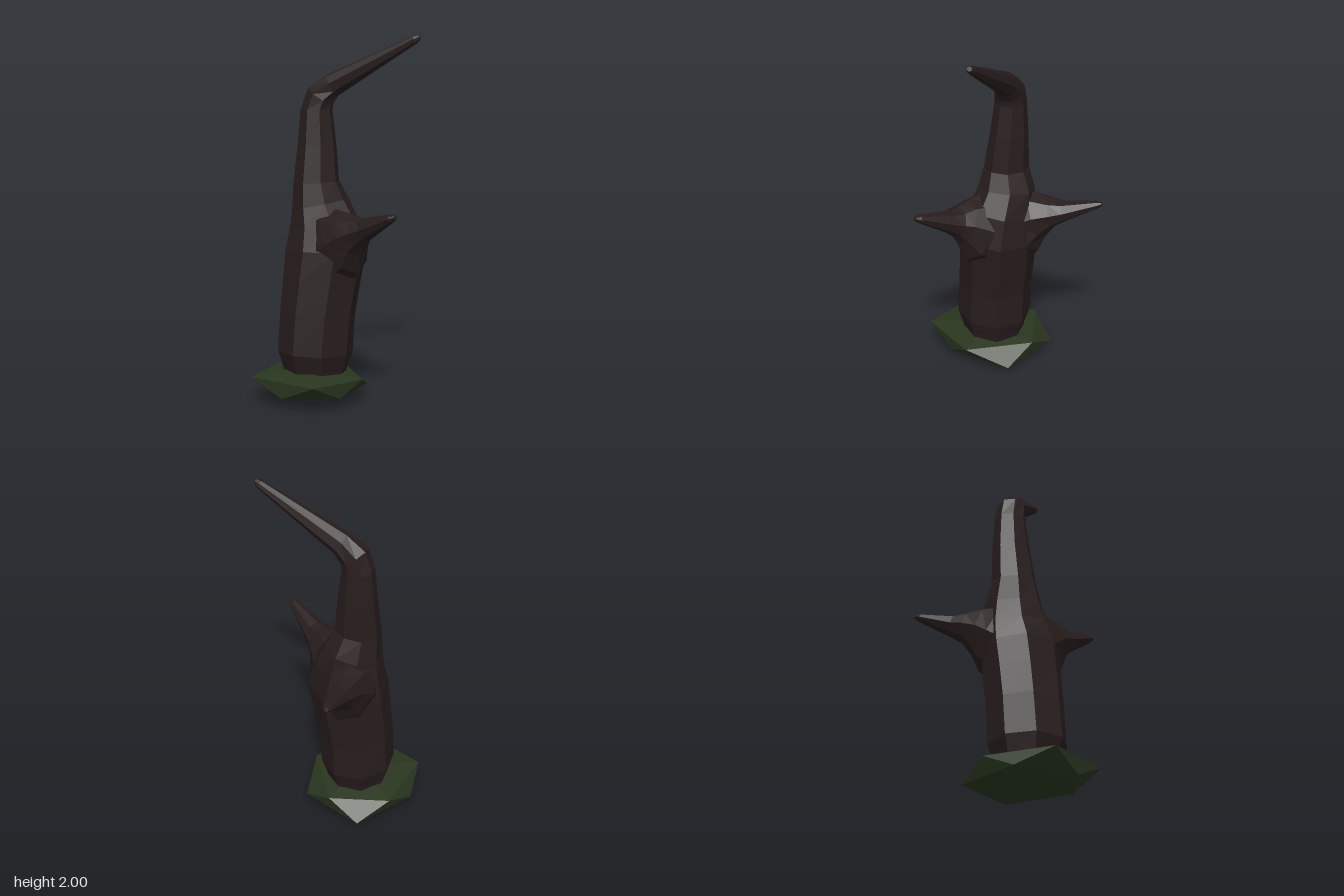
import * as THREE from 'three';
import { ConvexGeometry } from 'three/addons/geometries/ConvexGeometry.js';

const SIDES = 8;

// Faceted tube through stations [x, y, z, halfWidth, halfHeight], rings square to the path
function loft(stations, sideAxis) {
  const centres = stations.map(([x, y, z]) => new THREE.Vector3(x, y, z));
  const positions = [];
  const index = [];
  const last = stations.length - 1;
  stations.forEach(([, , , w, h], i) => {
    const t = centres[Math.min(i + 1, last)].clone().sub(centres[Math.max(i - 1, 0)]).normalize();
    const u = sideAxis.clone().addScaledVector(t, -sideAxis.dot(t)).normalize();
    const v = t.clone().cross(u);
    for (let k = 0; k < SIDES; k++) {
      const a = (k / SIDES) * Math.PI * 2;
      const p = centres[i].clone().addScaledVector(u, Math.cos(a) * w).addScaledVector(v, Math.sin(a) * h);
      positions.push(p.x, p.y, p.z);
    }
  });
  for (let i = 0; i < last; i++) {
    for (let k = 0; k < SIDES; k++) {
      const a = i * SIDES + k;
      const b = i * SIDES + (k + 1) % SIDES;
      index.push(a, b, b + SIDES, a, b + SIDES, a + SIDES);
    }
  }
  // End caps
  const top = last * SIDES;
  for (let k = 1; k < SIDES - 1; k++) {
    index.push(0, k + 1, k, top, top + k, top + k + 1);
  }
  const indexed = new THREE.BufferGeometry();
  indexed.setAttribute('position', new THREE.Float32BufferAttribute(positions, 3));
  indexed.setIndex(index);
  const geometry = indexed.toNonIndexed();
  geometry.computeVertexNormals();
  return geometry;
}

export function createModel() {
  const group = new THREE.Group();
  const bark = new THREE.MeshStandardMaterial({ color: 0x281d1d });
  bark.name = 'dark bark';
  const moss = new THREE.MeshStandardMaterial({ color: 0x29361f });
  moss.name = 'moss green';

  const add = (name, geometry, material) => {
    const mesh = new THREE.Mesh(geometry, material);
    mesh.name = name;
    group.add(mesh);
  };
  const X = new THREE.Vector3(1, 0, 0);
  const Z = new THREE.Vector3(0, 0, 1);

  // Trunk, narrowing into a spike that bends forward
  add('trunk', loft([
    [-0.13, 0.13, -0.135, 0.17, 0.17],
    [-0.13, 0.18, -0.135, 0.18, 0.18],
    [-0.13, 0.27, -0.135, 0.21, 0.208],
    [-0.115, 0.48, -0.13, 0.205, 0.212],
    [-0.092, 0.65, -0.12, 0.208, 0.22],
    [-0.07, 0.82, -0.108, 0.208, 0.232],
    [-0.055, 0.96, -0.125, 0.182, 0.205],
    [-0.055, 1.08, -0.155, 0.158, 0.158],
    [-0.07, 1.2, -0.17, 0.12, 0.13],
    [-0.055, 1.4, -0.175, 0.103, 0.11],
    [-0.05, 1.59, -0.18, 0.087, 0.088],
    [-0.042, 1.665, -0.16, 0.083, 0.084],
    [-0.016, 1.725, -0.095, 0.069, 0.066],
    [0.123, 1.971, 0.338, 0.025, 0.023],
    [0.132, 1.986, 0.362, 0.014, 0.013],
  ], X), bark);

  // Front branch, flaring into the trunk
  add('frontBranch', loft([
    [-0.1, 0.83, -0.08, 0.15, 0.22],
    [-0.105, 0.9, 0.03, 0.145, 0.205],
    [-0.137, 0.945, 0.11, 0.108, 0.13],
    [-0.148, 0.965, 0.165, 0.085, 0.088],
    [-0.157, 0.985, 0.22, 0.07, 0.063],
    [-0.197, 1.063, 0.405, 0.028, 0.023],
    [-0.201, 1.073, 0.432, 0.013, 0.011],
  ], X), bark);

  // Side branch, flaring into the trunk
  add('leftBranch', loft([
    [-0.08, 0.83, -0.165, 0.15, 0.22],
    [0.03, 0.9, -0.195, 0.145, 0.205],
    [0.11, 0.945, -0.225, 0.118, 0.14],
    [0.185, 0.968, -0.258, 0.09, 0.085],
    [0.25, 0.985, -0.285, 0.07, 0.06],
    [0.41, 1.043, -0.365, 0.028, 0.022],
    [0.434, 1.052, -0.377, 0.013, 0.011],
  ], Z), bark);

  // Rough twenty-sided moss clump: upper ring, lower ring, two poles
  const clump = [
    [-0.1, 0.14, 0.155], [-0.442, 0.155, 0.075], [-0.433, 0.15, -0.35],
    [-0.055, 0.145, -0.43], [0.145, 0.14, -0.15],
    [0.12, 0.05, 0.04], [-0.245, 0.06, 0.112], [-0.43, 0.06, -0.14],
    [-0.245, 0.06, -0.44], [0.13, 0.05, -0.345],
    [-0.15, 0, -0.135], [-0.15, 0.19, -0.14],
  ];
  add('mossBase', new ConvexGeometry(clump.map((p) => new THREE.Vector3(...p))), moss);

  return group;
}
